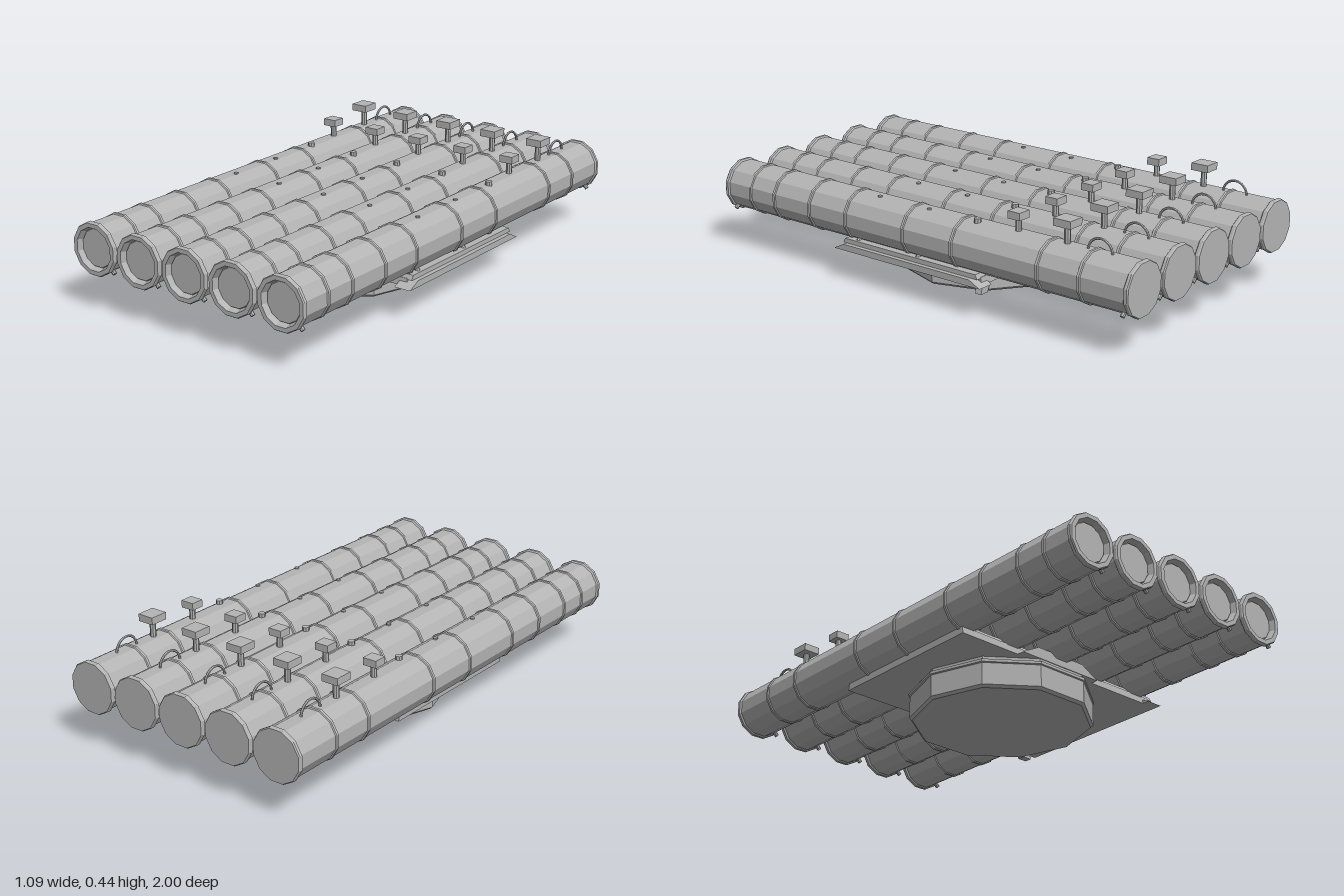
import * as THREE from 'three';

const metal = new THREE.MeshStandardMaterial({ color: 0xb4b4b4, flatShading: true });
metal.name = 'grey metal';

function add(parent, name, geometry, x = 0, y = 0, z = 0) {
  const mesh = new THREE.Mesh(geometry, metal);
  mesh.name = name;
  mesh.position.set(x, y, z);
  parent.add(mesh);
  return mesh;
}

const lathe = (points, sides, start) => new THREE.LatheGeometry(
  points.map(([r, y]) => new THREE.Vector2(r, y)), sides, start);

// Tube outline from the closed rear cap to the recessed front lid
function tubeGeometry() {
  const body = 0.1, band = 0.1045, flange = 0.1065;
  const points = [[0, -1], [0.103, -1], [flange, -0.995], [flange, -0.983], [body, -0.978]];
  for (const z of [-0.787, -0.603, -0.205, 0.035, 0.33, 0.525, 0.72, 0.857]) {
    points.push([body, z - 0.008], [band, z - 0.005], [band, z + 0.005], [body, z + 0.008]);
  }
  points.push([body, 0.978], [flange, 0.983], [flange, 0.995], [0.103, 1], [0.086, 1],
    [0.081, 0.985], [0.078, 0.975], [0.075, 0.98], [0, 0.98]);
  return lathe(points, 12, Math.PI / 12).rotateX(Math.PI / 2);
}

// Flat plate in the xz plane whose lower face is longer than its upper face
function taperedPlate(width, height, zMin, zMax, slope) {
  const shape = new THREE.Shape();
  shape.moveTo(-zMax, 0);
  shape.lineTo(-zMin, 0);
  shape.lineTo(-zMin - slope, height);
  shape.lineTo(-zMax + slope, height);
  const geometry = new THREE.ExtrudeGeometry(shape, { depth: width, bevelEnabled: false });
  return geometry.translate(0, 0, -width / 2).rotateY(Math.PI / 2);
}

export function createModel() {
  const model = new THREE.Group();
  model.name = 'launcher';

  // Turntable drum
  const drum = lathe([[0, 0], [0.35, 0], [0.361, 0.01], [0.361, 0.098], [0.366, 0.101],
    [0.366, 0.112], [0.354, 0.117], [0.354, 0.13], [0, 0.13]], 10, Math.PI / 10);
  drum.translate(0, 0, 0.045);
  add(model, 'turntableDrum', drum);
  add(model, 'drumHatch', new THREE.BoxGeometry(0.05, 0.036, 0.045), 0.34, 0.057, -0.083);

  // Wedge on the side of the drum
  const wedge = new THREE.Shape();
  wedge.moveTo(0.26, 0.1);
  wedge.lineTo(0.3, 0.005);
  wedge.lineTo(0.34, 0.005);
  wedge.lineTo(0.315, 0.1);
  add(model, 'drumWedge', new THREE.ExtrudeGeometry(wedge, { depth: 0.03, bevelEnabled: false }), 0, 0, -0.185);

  // Deck that carries the tubes
  add(model, 'deckPlate', taperedPlate(0.98, 0.03, -0.33, 0.355, 0.005), 0.02, 0.127, 0);
  add(model, 'deckTop', taperedPlate(0.94, 0.018, -0.325, 0.35, 0.01), 0.06, 0.153, 0);
  add(model, 'sideRail', taperedPlate(0.07, 0.025, -0.35, 0.385, 0.05), 0.512, 0.127, 0);

  // Raised middle of the deck
  const rise = new THREE.Shape();
  rise.moveTo(-0.2, 0.127);
  rise.lineTo(0.19, 0.127);
  rise.lineTo(0.11, 0.171);
  rise.lineTo(-0.12, 0.171);
  add(model, 'deckRise', new THREE.ExtrudeGeometry(rise, { depth: 0.71, bevelEnabled: false }), 0, 0, -0.325);

  // Shared geometries for the five tubes
  const tube = tubeGeometry();
  const post = new THREE.CylinderGeometry(0.012, 0.012, 0.08, 8);
  const frontHead = new THREE.BoxGeometry(0.058, 0.029, 0.055);
  const rearHead = new THREE.BoxGeometry(0.07, 0.029, 0.075);
  const handle = new THREE.TorusGeometry(0.053, 0.005, 6, 12, Math.PI).rotateY(Math.PI / 2);
  const plug = new THREE.CylinderGeometry(0.014, 0.014, 0.03, 8);
  const stud = new THREE.CylinderGeometry(0.009, 0.009, 0.02, 8);
  const lug = new THREE.CylinderGeometry(0.009, 0.009, 0.03, 8).rotateZ(Math.PI / 4);

  for (let i = -2; i <= 2; i++) {
    const unit = new THREE.Group();
    unit.name = 'launchTube';
    unit.position.set(i * 0.221, 0.25, 0);
    model.add(unit);
    add(unit, 'tubeBody', tube);

    // Upper fittings
    add(unit, 'frontPost', post, 0, 0.125, -0.447);
    add(unit, 'frontHead', frontHead, 0, 0.159, -0.447);
    add(unit, 'rearPost', post, 0, 0.135, -0.667);
    add(unit, 'rearHead', rearHead, 0, 0.177, -0.667);
    add(unit, 'handle', handle, 0, 0.091, -0.81);
    add(unit, 'plug', plug, 0.018, 0.097, -0.27);
    for (const z of [-0.035, 0.215]) add(unit, 'stud', stud, 0.018, 0.092, z);

    // Lower lugs
    for (const z of [0.97, 0.285, -0.02, -0.96]) add(unit, 'lug', lug, 0.065, -0.077, z);
  }
  return model;
}
